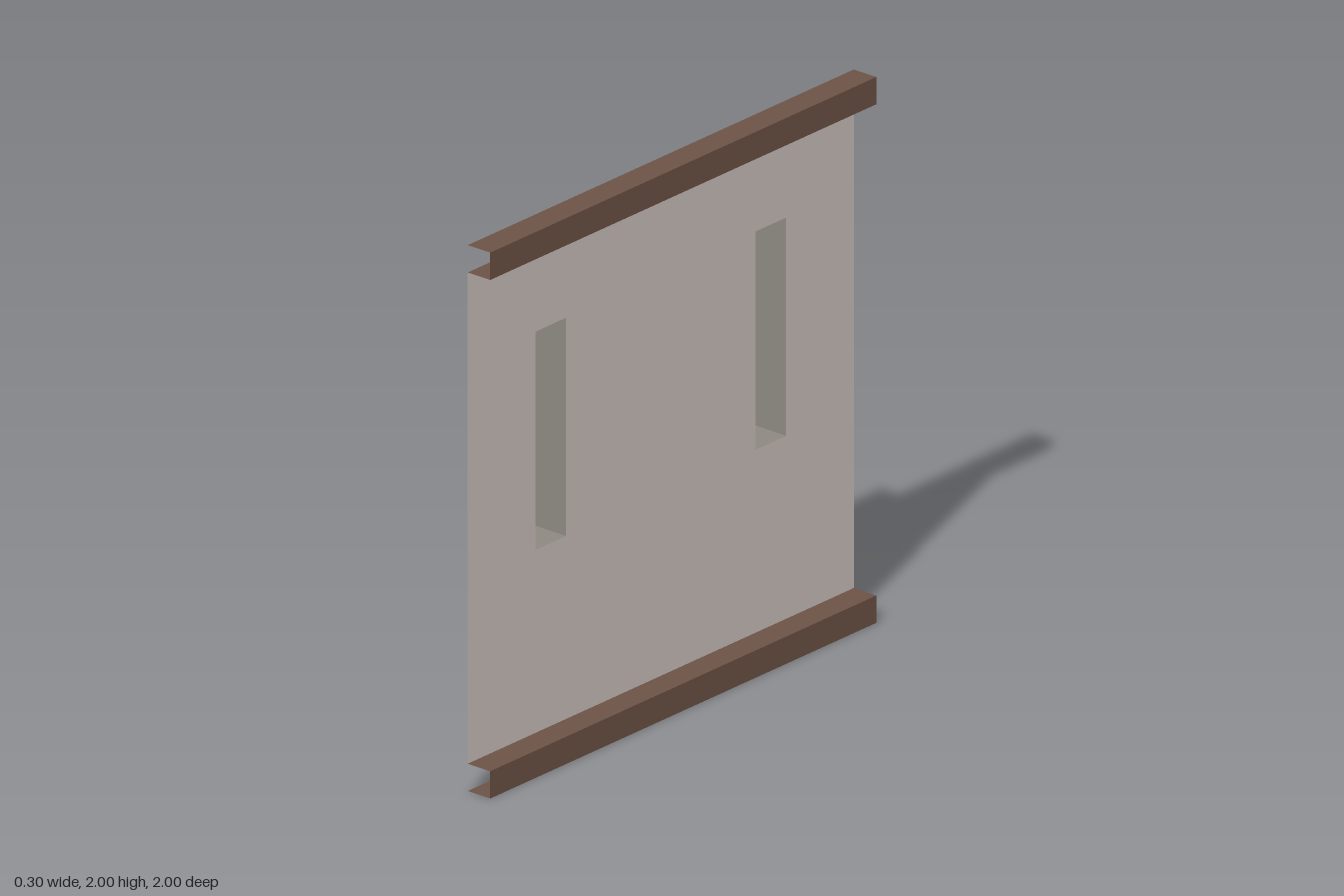
import * as THREE from 'three';

const flat = (name, color) => {
  const m = new THREE.MeshStandardMaterial({ color, side: THREE.DoubleSide });
  m.name = name;
  return m;
};

export function createModel() {
  const plaster = flat('plaster', 0xcdc4be);
  const wood = flat('brownTrim', 0x6d5346);
  const stone = flat('greyReveal', 0x8e8982);
  const dark = flat('darkPane', 0x353535);

  const wallX = 0.05, trimX = 0.15, nicheX = -0.15;
  const bottom = 0.77, top = 1.57, nicheZ = 0.57, nicheW = 0.16;
  const model = new THREE.Group();
  model.name = 'wallPanel';

  // Thin plate facing +x (wide in z) or +y (wide in x, long in z) or +z (wide in x)
  const plate = (parent, name, mat, axis, w, h, x, y, z) => {
    const geo = new THREE.PlaneGeometry(w, h);
    if (axis === 'x') geo.rotateY(Math.PI / 2);
    if (axis === 'y') geo.rotateX(-Math.PI / 2);
    const mesh = new THREE.Mesh(geo, mat);
    mesh.name = name;
    mesh.position.set(x, y, z);
    parent.add(mesh);
  };

  // Wall sheet with two tall openings
  const sheet = new THREE.Shape([[-1, 0.1], [1, 0.1], [1, 1.9], [-1, 1.9]].map(p => new THREE.Vector2(...p)));
  for (const s of [-1, 1]) {
    const a = s * nicheZ - nicheW / 2, b = s * nicheZ + nicheW / 2;
    sheet.holes.push(new THREE.Path([[a, bottom], [a, top], [b, top], [b, bottom]].map(p => new THREE.Vector2(...p))));
  }
  const wall = new THREE.Mesh(new THREE.ShapeGeometry(sheet).rotateY(Math.PI / 2), plaster);
  wall.name = 'wall';
  wall.position.x = wallX;
  model.add(wall);

  // Window niches: four reveals and a dark pane at the far end
  const depth = wallX - nicheX, midX = (wallX + nicheX) / 2, midY = (top + bottom) / 2;
  for (const [name, z] of [['frontWindow', nicheZ], ['backWindow', -nicheZ]]) {
    const niche = new THREE.Group();
    niche.name = name;
    plate(niche, 'sill', stone, 'y', depth, nicheW, midX, bottom, z);
    plate(niche, 'head', stone, 'y', depth, nicheW, midX, top, z);
    for (const s of [-1, 1]) plate(niche, 'jamb', stone, 'z', depth, top - bottom, midX, midY, z + s * nicheW / 2);
    plate(niche, 'pane', dark, 'x', nicheW, top - bottom, nicheX, midY, z);
    model.add(niche);
  }

  // Channel trims, open behind and at both ends
  for (const [name, y] of [['bottomTrim', 0], ['topTrim', 1.9]]) {
    const trim = new THREE.Group();
    trim.name = name;
    plate(trim, 'lowerFlange', wood, 'y', trimX - wallX, 2, 0.1, y, 0);
    plate(trim, 'upperFlange', wood, 'y', trimX - wallX, 2, 0.1, y + 0.1, 0);
    plate(trim, 'face', wood, 'x', 2, 0.1, trimX, y + 0.05, 0);
    model.add(trim);
  }
  return model;
}
